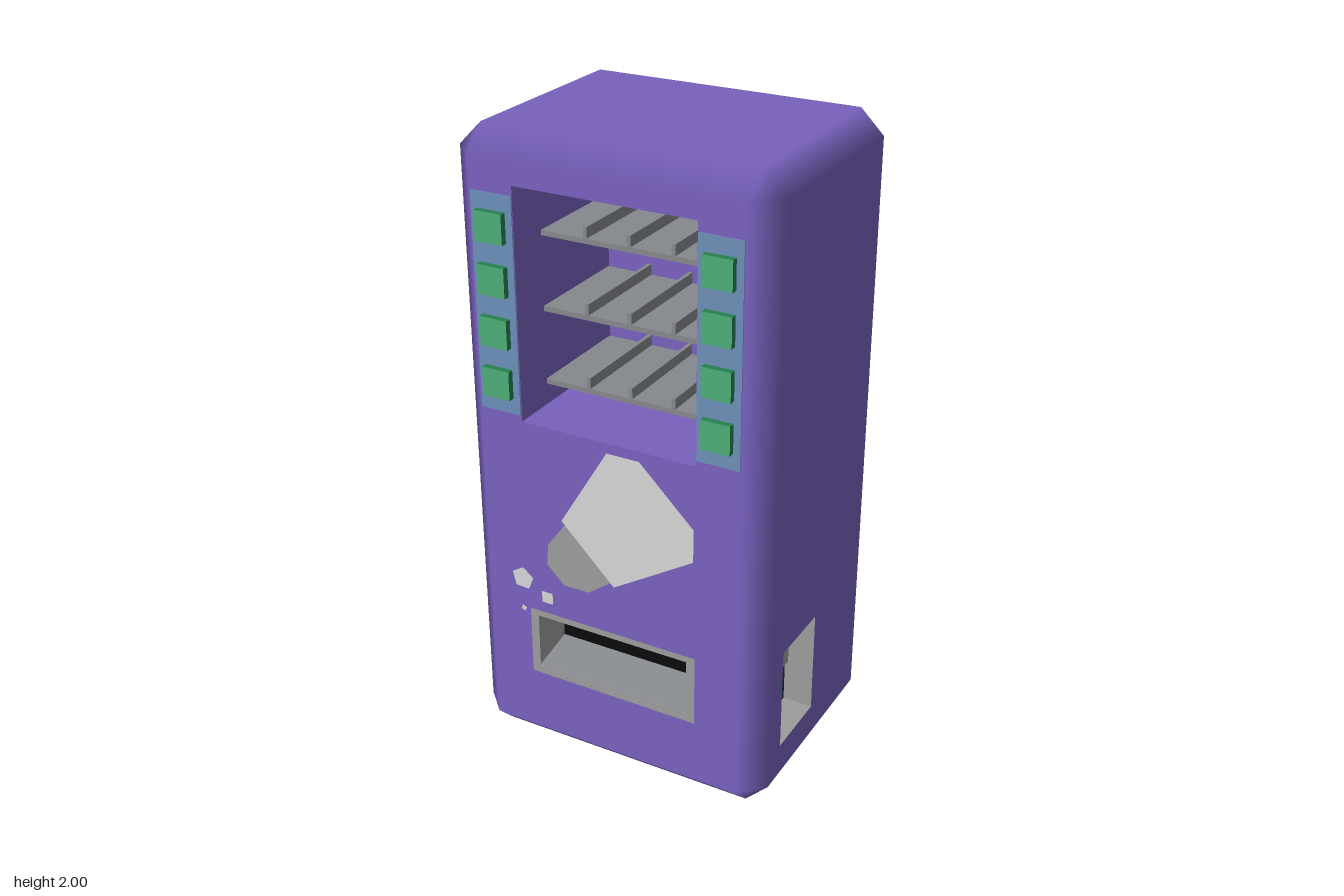
import * as THREE from 'three';
import { mergeGeometries } from 'three/addons/utils/BufferGeometryUtils.js';

const mat = (name, color, side = THREE.FrontSide) => {
  const m = new THREE.MeshStandardMaterial({ color, side });
  m.name = name;
  return m;
};

// Cabinet extents
const HALF = [0.5, 1, 0.3885], CENTRE = [0, 1, -0.0115], BEVEL = 0.073;
const FRONT = 0.377;

// Corner vertex lying on the main face of the given axis
function corner(signs, axis) {
  return signs.map((s, i) => CENTRE[i] + s * (HALF[i] - (i === axis ? 0 : BEVEL)));
}

// Chamfered shell with soft normals; the front and right faces stay open for panels with holes
function cabinetShell() {
  const pos = [], nor = [];
  const tri = (...verts) => {
    const [a, b, c] = verts.map(([s, ax]) => new THREE.Vector3(...corner(s, ax)));
    const n = b.clone().sub(a).cross(c.clone().sub(a));
    const out = a.clone().add(b).add(c).divideScalar(3).sub(new THREE.Vector3(...CENTRE));
    if (n.dot(out) < 0) verts.reverse();
    for (const [s, ax] of verts) {
      pos.push(...corner(s, ax));
      nor.push(...[0, 1, 2].map(i => (i === ax ? s[i] : 0)));
    }
  };
  const quad = (a, b, c, d) => { tri(a, b, c); tri(a, c, d); };
  const signs = (a, sa, b, sb, c, sc) => {
    const s = [0, 0, 0];
    s[a] = sa; s[b] = sb; s[c] = sc;
    return s;
  };
  for (let a = 0; a < 3; a++) {
    const b = (a + 1) % 3, c = (a + 2) % 3;
    for (const u of [-1, 1]) {
      // Main face
      if (!(u === 1 && a !== 1)) {
        quad(...[[-1, -1], [1, -1], [1, 1], [-1, 1]].map(([p, q]) => [signs(a, u, b, p, c, q), a]));
      }
      // Edge bevels running along axis a
      for (const v of [-1, 1]) {
        const lo = signs(a, -1, b, u, c, v), hi = signs(a, 1, b, u, c, v);
        quad([lo, b], [hi, b], [hi, c], [lo, c]);
      }
    }
  }
  // Corner facets
  for (const x of [-1, 1]) for (const y of [-1, 1]) for (const z of [-1, 1]) {
    const s = [x, y, z];
    tri([s, 0], [s, 1], [s, 2]);
  }
  const g = new THREE.BufferGeometry();
  g.setAttribute('position', new THREE.Float32BufferAttribute(pos, 3));
  g.setAttribute('normal', new THREE.Float32BufferAttribute(nor, 3));
  return g;
}

const rectPoints = (x0, x1, y0, y1) =>
  [[x0, y0], [x1, y0], [x1, y1], [x0, y1]].map(p => new THREE.Vector2(...p));

// Flat rectangle with rectangular holes
function panel(rect, ...holes) {
  const shape = new THREE.Shape(rectPoints(...rect));
  holes.forEach(h => shape.holes.push(new THREE.Path(rectPoints(...h))));
  return new THREE.ShapeGeometry(shape);
}

// Four inward-facing walls going back from z = 0
function recessWalls(x0, x1, y0, y1, d) {
  const w = x1 - x0, h = y1 - y0, cx = (x0 + x1) / 2, cy = (y0 + y1) / 2;
  return mergeGeometries([
    new THREE.PlaneGeometry(w, d).rotateX(-Math.PI / 2).translate(cx, y0, -d / 2),
    new THREE.PlaneGeometry(w, d).rotateX(Math.PI / 2).translate(cx, y1, -d / 2),
    new THREE.PlaneGeometry(d, h).rotateY(Math.PI / 2).translate(x0, cy, -d / 2),
    new THREE.PlaneGeometry(d, h).rotateY(-Math.PI / 2).translate(x1, cy, -d / 2),
  ]);
}

export function createModel() {
  const body = mat('purple body', 0x7861bd, THREE.DoubleSide);
  const light = mat('pale grey', 0xd6d6d6);
  const grey = mat('mid grey', 0x9c9c9c);
  const shelfGrey = mat('shelf grey', 0x85888c);
  const green = mat('button green', 0x4dac76);
  const darkGreen = mat('button side green', 0x26804f);
  const blue = mat('keypad blue', 0x6c8fb8);
  const teal = mat('dark teal', 0x113b3c);
  const black = mat('slot black', 0x0b0b0b);

  const model = new THREE.Group();
  model.name = 'vendingMachine';
  const add = (parent, name, geo, material, x = 0, y = 0, z = 0) => {
    const m = new THREE.Mesh(geo, material);
    m.name = name;
    m.position.set(x, y, z);
    parent.add(m);
    return m;
  };
  const group = (name, x = 0, y = 0, z = 0) => {
    const g = new THREE.Group();
    g.name = name;
    g.position.set(x, y, z);
    model.add(g);
    return g;
  };

  // Cabinet
  const windowRect = [-0.285, 0.285, 1.15, 1.86];
  const slotRect = [-0.285, 0.285, 0.28, 0.512];
  const pocketRect = [-0.225, 0, 0.175, 0.512];   // local x = -z
  add(model, 'cabinet', cabinetShell(), body);
  add(model, 'frontPanel',
    panel([-0.427, 0.427, BEVEL, 2 - BEVEL], windowRect, slotRect), body, 0, 0, FRONT);
  add(model, 'rightPanel',
    panel([BEVEL - FRONT, 0.4 - BEVEL, BEVEL, 2 - BEVEL], pocketRect).rotateY(Math.PI / 2), body, 0.5);

  // Display compartment with shelves and dividers
  const display = group('display', 0, 0, FRONT);
  const displayDepth = 0.5;
  add(display, 'displayWalls', recessWalls(...windowRect, displayDepth), body);
  add(display, 'displayBack', panel(windowRect), body, 0, 0, -displayDepth);
  for (const y of [1.225, 1.455, 1.685]) {
    add(display, 'shelf', new THREE.BoxGeometry(0.568, 0.016, 0.36), shelfGrey, 0, y, -0.315);
    for (const x of [-0.14, 0, 0.14]) {
      add(display, 'divider', new THREE.BoxGeometry(0.012, 0.035, 0.36), shelfGrey, x, y + 0.024, -0.315);
    }
  }

  // Keypads on both sides of the display
  for (const s of [-1, 1]) {
    const keypad = group(s > 0 ? 'leftKeypad' : 'rightKeypad', s * 0.354, 0, FRONT);
    add(keypad, 'keypadPlate', new THREE.BoxGeometry(0.134, 0.66, 0.004), blue, 0, 1.5, 0.001);
    for (const y of [1.265, 1.422, 1.579, 1.736]) {
      add(keypad, 'button', new THREE.BoxGeometry(0.09, 0.09, 0.023),
        [darkGreen, darkGreen, darkGreen, darkGreen, green, darkGreen], 0, y, 0.0115);
    }
  }

  // Painted snack bag with crumbs
  const decal = group('snackDecal', 0, 0, FRONT);
  const plate = (name, pts, material, z = 0.003) => add(decal, name,
    new THREE.ShapeGeometry(new THREE.Shape(pts.map(p => new THREE.Vector2(...p)))), material, 0, 0, z);
  plate('bag', [[0, 1.12], [0.106, 1.12], [0.28, 0.948], [0.28, 0.842], [0.016, 0.678], [-0.16, 0.855]], light);
  plate('bagOpening', [[-0.148, 0.845], [0.005, 0.69], [-0.074, 0.632], [-0.159, 0.632],
    [-0.217, 0.69], [-0.21, 0.76]], grey, 0.002);
  for (const [x, y, r, n, a] of [[-0.307, 0.614, 0.039, 5, 1.5], [-0.22, 0.569, 0.027, 4, 0.785], [-0.307, 0.507, 0.011, 4, 0.4]]) {
    add(decal, 'crumb', new THREE.CircleGeometry(r, n, a), light, x, y, 0.003);
  }

  // Delivery slot: flush rim, recess, sloping tray and dark back
  const slot = group('deliverySlot', 0, 0, FRONT);
  const mouth = [-0.257, 0.257, 0.31, 0.492];
  const slotDepth = 0.14;
  add(slot, 'slotRim', panel(slotRect, mouth), grey);
  add(slot, 'slotWalls', recessWalls(...mouth, slotDepth), grey);
  add(slot, 'slotBack', panel(mouth), black, 0, 0, -slotDepth);
  const tray = add(slot, 'slotTray',
    new THREE.PlaneGeometry(0.514, Math.hypot(slotDepth, 0.03)), shelfGrey, 0, 0.326, -slotDepth / 2);
  tray.rotation.x = -Math.PI / 2 + Math.atan2(0.03, slotDepth);

  // Coin pocket in the side, built facing +z and turned to +x
  const pocket = group('coinPocket', 0.5, 0, 0);
  pocket.rotation.y = Math.PI / 2;
  const d = 0.095;
  add(pocket, 'pocketWalls', recessWalls(...pocketRect, d), grey);
  add(pocket, 'pocketBack', panel(pocketRect), teal, 0, 0, -d);
  add(pocket, 'coinFrame', new THREE.BoxGeometry(0.135, 0.12, 0.02), shelfGrey, -0.097, 0.4, -d + 0.01);
  add(pocket, 'coinButton', new THREE.CylinderGeometry(0.06, 0.07, 0.016, 4, 1)
    .rotateY(Math.PI / 4).rotateX(Math.PI / 2).toNonIndexed(), grey, -0.095, 0.4, -d + 0.026)
    .geometry.computeVertexNormals();
  const trim = new THREE.Shape([[-0.225, 0.287], [-0.088, 0.287], [-0.045, 0.247], [-0.045, 0.175],
    [-0.06, 0.175], [-0.06, 0.24], [-0.095, 0.27], [-0.225, 0.27]].map(p => new THREE.Vector2(...p)));
  add(pocket, 'pocketTrim', new THREE.ExtrudeGeometry(trim, { depth: 0.008, bevelEnabled: false }), grey, 0, 0, -d);

  return model;
}
